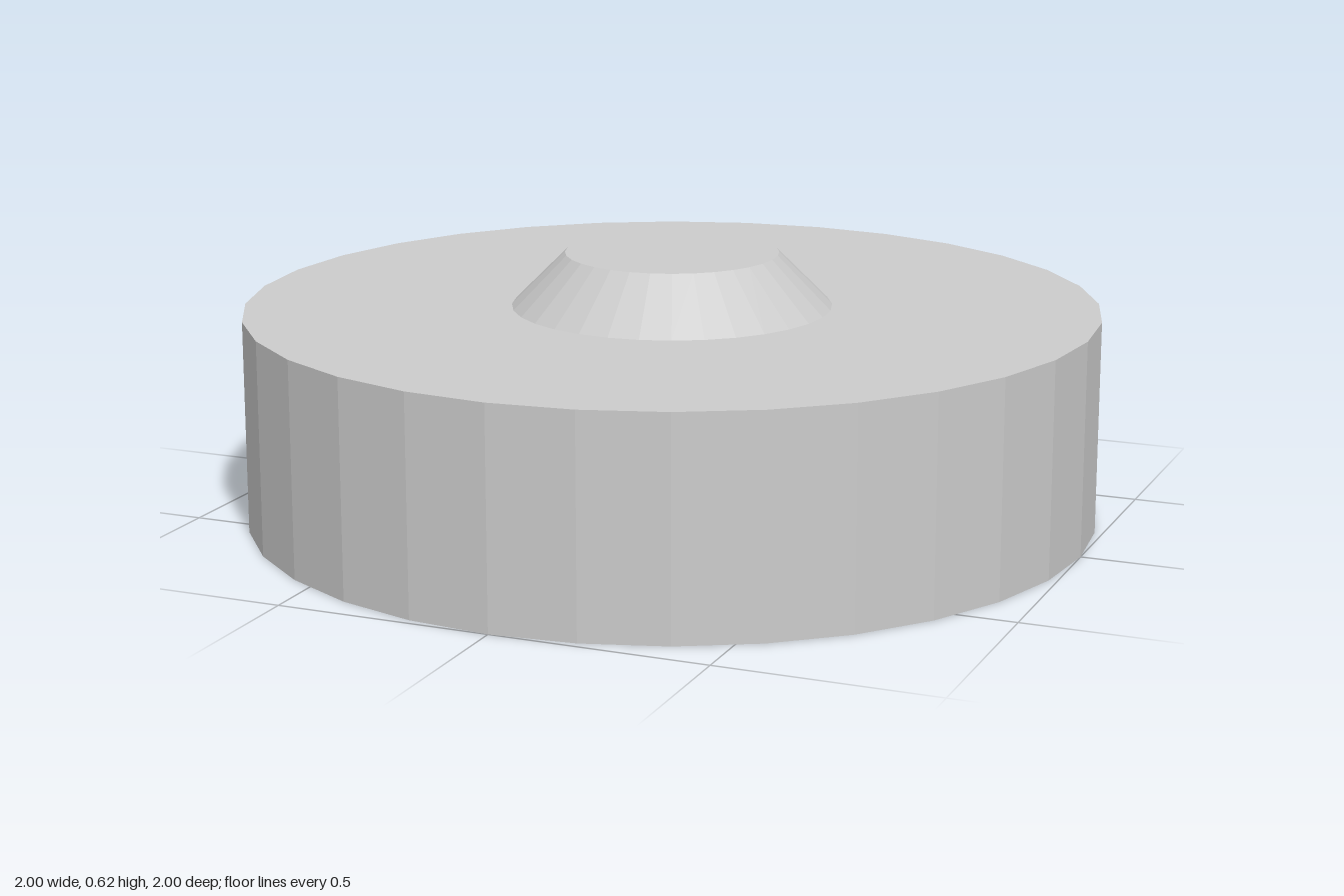
import * as THREE from 'three';

const SIDES = 32;

export function createModel() {
  const group = new THREE.Group();
  group.name = 'discWithBoss';
  const material = new THREE.MeshStandardMaterial({ color: 0xcccccc, flatShading: true });

  // Adds an upright round part standing on the given height
  function addRound(name, topRadius, bottomRadius, height, baseY) {
    const geometry = new THREE.CylinderGeometry(topRadius, bottomRadius, height, SIDES);
    geometry.translate(0, baseY + height / 2, 0);
    const mesh = new THREE.Mesh(geometry, material);
    mesh.name = name;
    group.add(mesh);
  }

  // Wide faceted disc
  addRound('discBody', 1, 1, 0.5, 0);
  // Tapered boss in the middle of the top face
  addRound('taperedBoss', 0.25, 0.375, 0.125, 0.5);

  return group;
}
